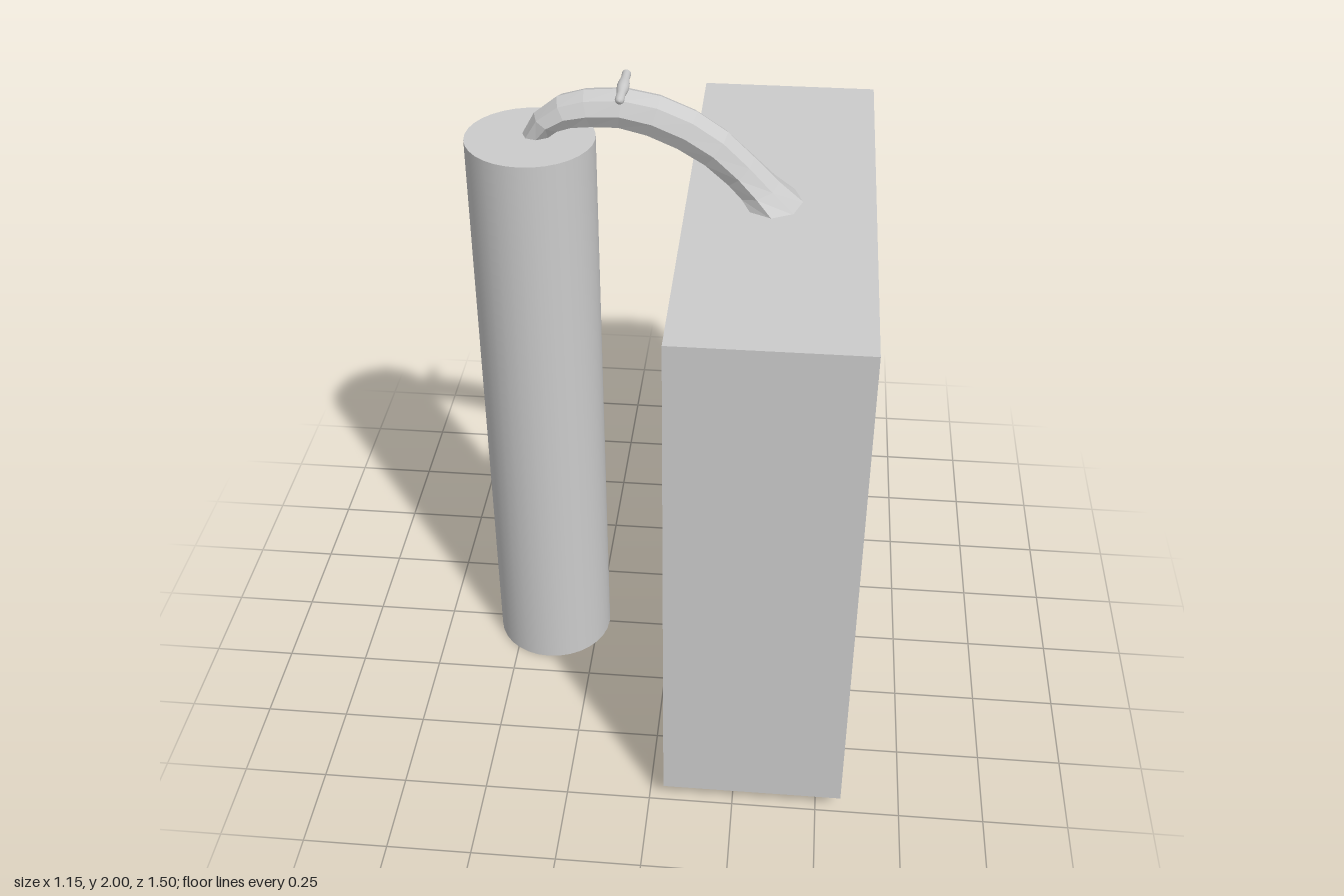
import * as THREE from 'three';

const material = (flatShading) => new THREE.MeshStandardMaterial({ color: 0xcccccc, flatShading });

function addMesh(group, name, geometry, x, y, z, flat = false) {
  const mesh = new THREE.Mesh(geometry, material(flat));
  mesh.name = name;
  mesh.position.set(x, y, z);
  group.add(mesh);
  return mesh;
}

// Octagonal sweep; each section is [outerX, outerY, innerX, innerY, halfWidth]
function archGeometry(sections, sides = 8) {
  const positions = [], index = [];
  for (const [ox, oy, ix, iy, w] of sections) {
    for (let i = 0; i < sides; i++) {
      const a = (i / sides) * Math.PI * 2;
      const t = (1 + Math.cos(a)) / 2;
      positions.push(ix + (ox - ix) * t, iy + (oy - iy) * t, Math.sin(a) * w);
    }
  }
  for (let s = 0; s < sections.length - 1; s++) {
    for (let i = 0; i < sides; i++) {
      const j = (i + 1) % sides;
      const a = s * sides + i, b = s * sides + j, c = a + sides, d = b + sides;
      index.push(a, b, c, b, d, c);
    }
  }
  // End caps
  const last = (sections.length - 1) * sides;
  for (let i = 1; i < sides - 1; i++) {
    index.push(0, i + 1, i, last, last + i, last + i + 1);
  }
  const geometry = new THREE.BufferGeometry();
  geometry.setAttribute('position', new THREE.Float32BufferAttribute(positions, 3));
  geometry.setIndex(index);
  geometry.computeVertexNormals();
  return geometry;
}

export function createModel() {
  const model = new THREE.Group();
  model.name = 'blockAndPostWithArch';

  // Upright block and round post
  addMesh(model, 'block', new THREE.BoxGeometry(0.53, 1.597, 1.5), 0.308, 0.8565, 0);
  addMesh(model, 'post', new THREE.CylinderGeometry(0.183, 0.183, 1.822, 32), -0.395, 0.911, 0);

  // Curved arm from the post over to its flared foot on the block
  const sections = [
    [-0.415, 1.832, -0.325, 1.838, 0.046],
    [-0.38, 1.895, -0.3, 1.855, 0.058],
    [-0.315, 1.947, -0.265, 1.863, 0.062],
    [-0.24, 1.97, -0.215, 1.865, 0.062],
    [-0.13, 1.978, -0.145, 1.865, 0.062],
    [-0.03, 1.96, -0.07, 1.845, 0.062],
    [0.07, 1.918, 0.01, 1.81, 0.062],
    [0.155, 1.86, 0.085, 1.765, 0.062],
    [0.23, 1.787, 0.15, 1.71, 0.066],
    [0.3, 1.715, 0.182, 1.678, 0.078],
    [0.372, 1.652, 0.2, 1.652, 0.104],
  ];
  addMesh(model, 'curvedArm', archGeometry(sections), 0, 0, 0, true);

  // Small cross pin resting on top of the arm
  const profile = [
    [0, -0.094], [0.009, -0.091], [0.013, -0.082], [0.012, -0.05], [0.016, -0.02], [0.017, 0],
    [0.016, 0.02], [0.012, 0.05], [0.013, 0.082], [0.009, 0.091], [0, 0.094],
  ].map(([r, h]) => new THREE.Vector2(r, h));
  const pin = addMesh(model, 'crossPin', new THREE.LatheGeometry(profile, 16), -0.132, 1.983, 0);
  pin.rotation.x = Math.PI / 2;

  return model;
}
